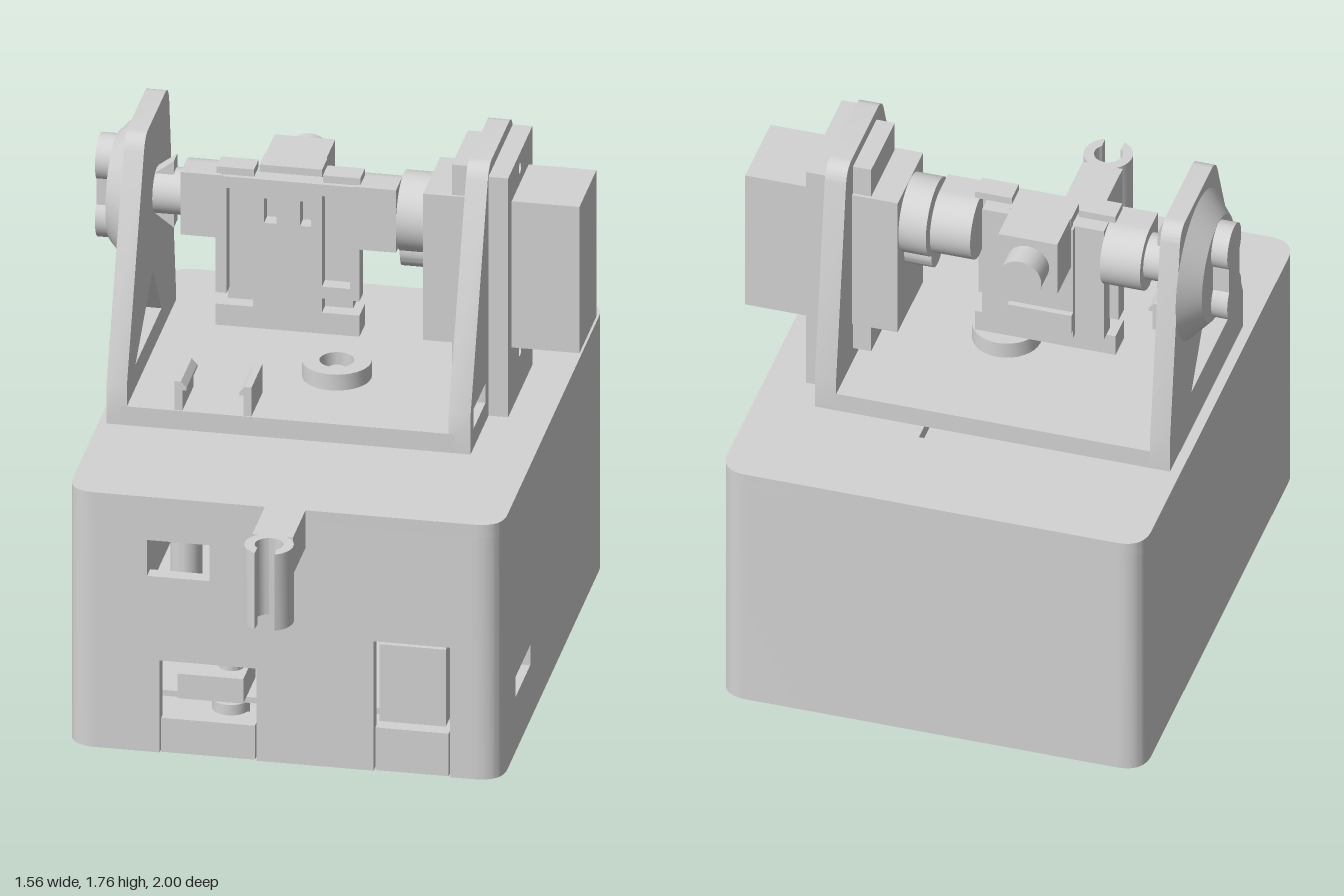
import * as THREE from 'three';
import { toCreasedNormals } from 'three/addons/utils/BufferGeometryUtils.js';

const grey = new THREE.MeshStandardMaterial({ color: 0xd3d3d3 });
grey.name = 'light plastic grey';

export function createModel() {
  const model = new THREE.Group();

  const add = (name, geo) => {
    const mesh = new THREE.Mesh(toCreasedNormals(geo, 0.5), grey);
    mesh.name = name;
    model.add(mesh);
  };
  // box given by its limits on each axis
  const box = (name, x0, x1, y0, y1, z0, z1) =>
    add(name, new THREE.BoxGeometry(x1 - x0, y1 - y0, z1 - z0)
      .translate((x0 + x1) / 2, (y0 + y1) / 2, (z0 + z1) / 2));
  const poly = (pts) => new THREE.Shape(pts.map(([a, b]) => new THREE.Vector2(a, b)));
  const rect = (x0, x1, y0, y1) => poly([[x0, y0], [x1, y0], [x1, y1], [x0, y1]]);
  const extrude = (shape, depth) =>
    new THREE.ExtrudeGeometry(shape, { depth, bevelEnabled: false, curveSegments: 16 });
  // outline in (x, z), raised from y0 to y1
  const raise = (name, shape, y0, y1) =>
    add(name, extrude(shape, y1 - y0).rotateX(Math.PI / 2).translate(0, y1, 0));
  // outline in (-z, y), extended from x0 to x1
  const across = (name, shape, x0, x1) =>
    add(name, extrude(shape, x1 - x0).rotateY(Math.PI / 2).translate(x0, 0, 0));
  // outline in (x, y), extended from z0 to z1
  const forward = (name, shape, z0, z1) =>
    add(name, extrude(shape, z1 - z0).translate(0, 0, z0));
  const cylX = (name, r0, r1, x0, x1, y, z) =>
    add(name, new THREE.CylinderGeometry(r1, r0, x1 - x0, 40)
      .rotateZ(-Math.PI / 2).translate((x0 + x1) / 2, y, z));
  const cylY = (name, r, x, y0, y1, z) =>
    add(name, new THREE.CylinderGeometry(r, r, y1 - y0, 32).translate(x, (y0 + y1) / 2, z));

  // ---- Housing: thin walls with openings in front and on the left side
  const W = 0.695, F = 0.66, B = -1, R = 0.09, T = 0.05;
  const wall = new THREE.Shape();
  wall.moveTo(-0.6, F);
  wall.quadraticCurveTo(-W, F, -W, F - R);
  wall.lineTo(-W, B + R);
  wall.quadraticCurveTo(-W, B, -W + R, B);
  wall.lineTo(W - R, B);
  wall.quadraticCurveTo(W, B, W, B + R);
  wall.lineTo(W, 0.1);
  [[W - T, 0.1], [W - T, B + T], [-W + T, B + T], [-W + T, F - T], [-0.6, F - T]]
    .forEach(([x, z]) => wall.lineTo(x, z));
  raise('housingWalls', wall, 0, 0.84);

  const corner = new THREE.Shape();
  corner.moveTo(W, F - R);
  corner.quadraticCurveTo(W, F, 0.6, F);
  corner.lineTo(0.6, F - T);
  corner.lineTo(W - T, F - T);
  corner.lineTo(W - T, F - R);
  raise('housingCorner', corner, 0, 0.84);

  const front = poly([[-0.6, 0], [-0.4, 0], [-0.4, 0.32], [-0.09, 0.32], [-0.09, 0],
    [0.285, 0], [0.285, 0.45], [0.53, 0.45], [0.53, 0], [0.6, 0], [0.6, 0.84], [-0.6, 0.84]]);
  front.holes.push(rect(-0.44, -0.24, 0.61, 0.735));
  forward('housingFront', front, F - T, F);

  const side = rect(-(F - R), -0.1, 0, 0.84);
  side.holes.push(rect(-0.44, -0.2, 0.19, 0.26));
  across('housingSide', side, W - T, W);

  const lid = new THREE.Shape();
  lid.moveTo(-W + R, F);
  lid.quadraticCurveTo(-W, F, -W, F - R);
  lid.lineTo(-W, B + R);
  lid.quadraticCurveTo(-W, B, -W + R, B);
  lid.lineTo(W - R, B);
  lid.quadraticCurveTo(W, B, W, B + R);
  lid.lineTo(W, F - R);
  lid.quadraticCurveTo(W, F, W - R, F);
  lid.holes.push(rect(-0.14, 0.145, -0.655, -0.5));
  raise('housingTop', lid, 0.84, 0.885);

  // ---- Bottom cover, its front tabs and the electronics behind the openings
  box('bottomCover', -0.64, 0.64, 0.005, 0.06, -0.92, 0.605);
  box('coverTab', -0.395, -0.095, 0.002, 0.12, 0.56, F - 0.002);
  box('coverTab', 0.29, 0.525, 0.002, 0.15, 0.56, F - 0.002);
  box('circuitBoard', -0.45, 0.55, 0.155, 0.175, -0.1, 0.57);
  for (const x of [-0.195, 0.43]) cylY('boardPost', 0.06, x, 0.05, 0.156, 0.54);
  box('smallPort', -0.35, -0.14, 0.175, 0.26, 0.42, 0.62);
  cylY('portPost', 0.04, -0.195, 0.25, 0.32, 0.53);
  box('largePort', 0.3, 0.512, 0.165, 0.432, 0.3, 0.64);
  box('sidePort', 0.5, 0.645, 0.19, 0.25, 0.21, 0.43);
  cylY('innerPost', 0.05, -0.34, 0.55, 0.84, 0.53);

  // ---- Cable clip on a front arm
  box('clipArm', -0.063, 0.067, 0.755, 0.885, F, 0.862);
  const clip = new THREE.Shape();
  clip.absarc(0.003, 0.925, 0.078, Math.PI / 2 + 0.42, Math.PI * 2.5 - 0.42, false);
  clip.absarc(0.003, 0.925, 0.045, Math.PI * 2.5 - 0.75, Math.PI / 2 + 0.75, true);
  raise('cableClip', clip, 0.62, 0.885);

  // ---- Turntable
  cylY('turnShaft', 0.055, 0.003, 0.86, 0.9, -0.17);
  raise('turntable', rect(-0.62, 0.45, -0.61, 0.18), 0.895, 0.96);
  const hub = new THREE.Shape().absarc(0.003, -0.17, 0.11, 0, Math.PI * 2);
  hub.holes.push(new THREE.Path().absarc(0.003, -0.17, 0.055, 0, Math.PI * 2));
  raise('turnHub', hub, 0.96, 1.015);
  cylY('hubScrew', 0.028, 0.003, 0.95, 0.985, -0.17);
  // snap hooks with barbed heads facing each other's far side
  for (const [x, s] of [[-0.436, -1], [-0.215, 1]]) {
    const hook = [[-0.013, 0.95], [0.013, 0.95], [0.013, 1.06], [-0.008, 1.06],
      [-0.026, 1.04], [-0.026, 1.03], [-0.013, 1.03]];
    forward('deckHook', poly(hook.map(([a, y]) => [x + s * a, y])), 0, 0.175);
  }

  // ---- Tapered side plates
  const plate = () => {
    const s = poly([[-0.18, 0.895], [0.61, 0.895], [0.61, 1.02], [0.505, 1.7]]);
    s.quadraticCurveTo(0.495, 1.762, 0.44, 1.762);
    s.lineTo(0.16, 1.762);
    s.quadraticCurveTo(0.115, 1.762, 0.095, 1.71);
    s.lineTo(-0.18, 1.03);
    return s;
  };
  const rightPlate = plate();
  rightPlate.holes.push(poly([[0.38, 1.04], [0.24, 1.24], [-0.04, 1.04]]));
  across('rightSidePlate', rightPlate, -0.665, -0.6);
  const leftPlate = plate();
  leftPlate.holes.push(rect(-0.13, 0.06, 0.962, 1.03));
  across('leftSidePlate', leftPlate, 0.43, 0.5);

  // ---- Tilt servo through the left plate
  const Y = 1.49, Z = -0.305;
  const mount = rect(0.11, 0.5, 0.895, 1.725);
  for (const y of [1.04, 1.675])
    mount.holes.push(new THREE.Path().absarc(0.3, y, 0.02, 0, Math.PI * 2));
  across('servoMount', mount, 0.5, 0.563);
  box('servoBody', 0.28, 0.78, 1.112, 1.62, -0.44, -0.165);
  box('servoFlange', 0.37, 0.43, 1.01, 1.725, -0.43, -0.175);
  cylX('servoTurret', 0.128, 0.128, 0.19, 0.28, Y, Z);
  cylX('servoIdler', 0.065, 0.065, 0.19, 0.28, 1.37, Z);
  cylX('servoSpline', 0.06, 0.06, 0.15, 0.2, Y, Z);

  // ---- Bearing and knob through the right plate
  cylX('bearingCone', 0.175, 0.245, -0.73, -0.665, Y, Z);
  for (const y of [1.392, 1.588]) cylX('knobLobe', 0.076, 0.076, -0.783, -0.72, y, Z);
  box('knobBridge', -0.783, -0.72, 1.4, 1.58, Z - 0.055, Z + 0.055);
  cylX('tiltShaft', 0.075, 0.075, -0.68, -0.5, Y, Z);
  for (const s of [1, -1]) {
    const barb = poly([[-0.6, Y + s * 0.06], [-0.54, Y + s * 0.06],
      [-0.54, Y + s * 0.115], [-0.6, Y + s * 0.07]]);
    forward('shaftBarb', barb, Z - 0.03, Z + 0.03);
  }

  // ---- Swinging holder with flat-fronted round sockets
  const socket = new THREE.Shape();
  socket.moveTo(0.22, Y - 0.11);
  socket.lineTo(0.305, Y - 0.11);
  socket.absarc(0.305, Y - 0.003, 0.11, -Math.PI / 2, Math.PI / 2, false);
  socket.lineTo(0.22, Y + 0.107);
  across('holderSocket', socket, -0.507, -0.375);
  across('holderSocket', socket, 0.05, 0.182);

  const holder = poly([[-0.275, 1.15], [-0.055, 1.15], [-0.055, 1.2], [0.065, 1.2],
    [0.065, 1.595], [-0.395, 1.595], [-0.395, 1.19], [-0.36, 1.19], [-0.36, 1.555], [-0.275, 1.555]]);
  holder.holes.push(rect(-0.24, -0.2, 1.445, 1.53), rect(-0.125, -0.09, 1.445, 1.53),
    rect(-0.055, 0.035, 1.24, 1.555));
  forward('holderFrame', holder, -0.275, -0.22);
  box('holderFoot', -0.395, 0.065, 1.077, 1.15, -0.31, -0.22);
  box('holderLip', -0.395, -0.275, 1.595, 1.62, -0.31, -0.235);
  box('holderLip', -0.055, 0.065, 1.595, 1.62, -0.31, -0.235);
  box('holderLip', -0.265, -0.065, 1.59, 1.62, -0.36, -0.275);

  // ---- Camera board, sensor block and lens facing the back
  box('cameraBoard', -0.365, 0.035, 1.15, 1.575, -0.335, -0.27);
  box('cameraCarrier', -0.27, -0.06, 1.15, 1.575, -0.355, -0.33);
  box('cameraConnector', -0.27, -0.06, 1.18, 1.25, -0.375, -0.35);
  box('cameraBlock', -0.262, -0.068, 1.425, 1.62, -0.5, -0.33);
  add('cameraLens', new THREE.CylinderGeometry(0.07, 0.07, 0.1, 32)
    .rotateX(Math.PI / 2).translate(-0.165, 1.523, -0.535));

  return model;
}
